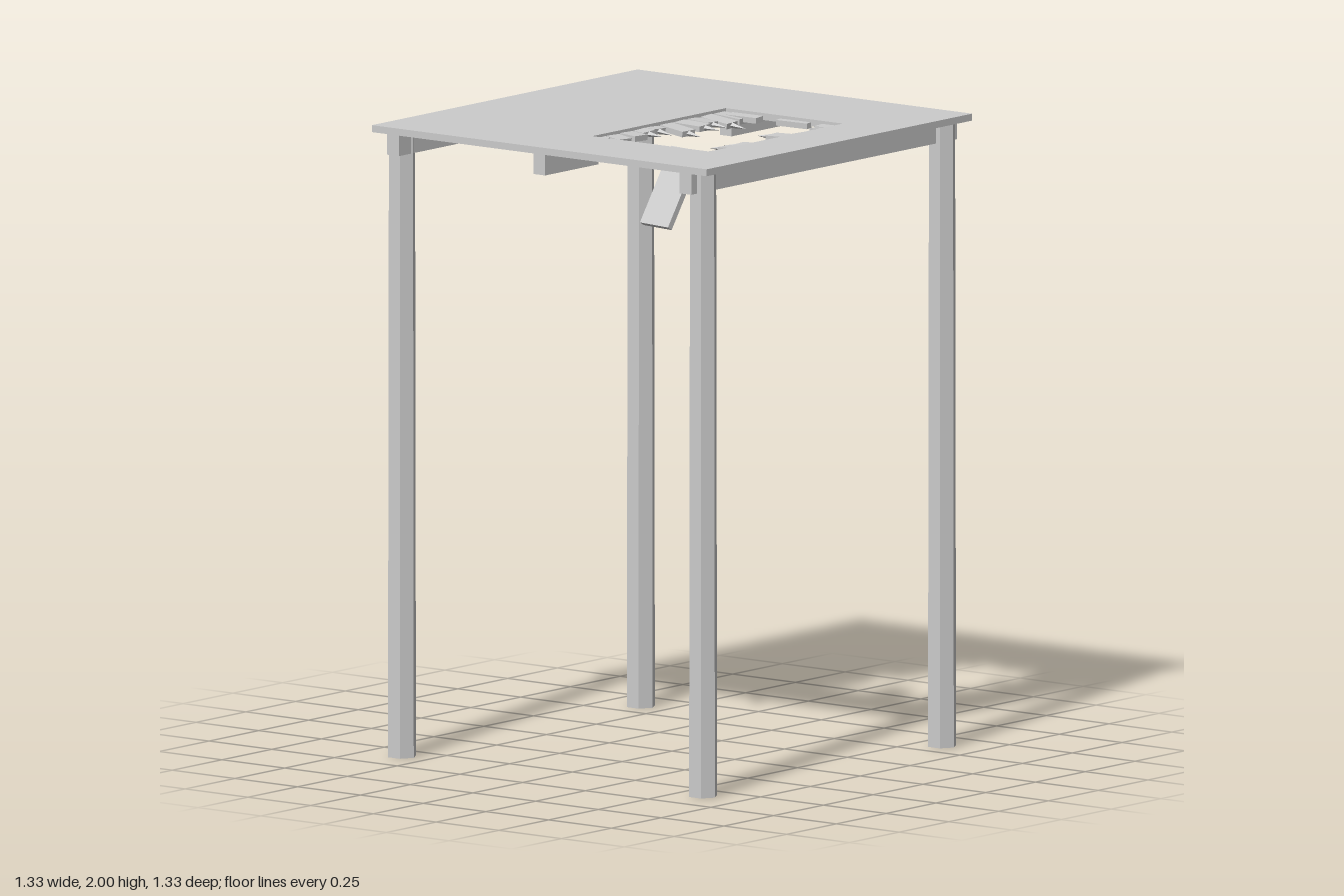
import * as THREE from 'three';

export function createModel() {
  const model = new THREE.Group();
  model.name = 'brokenPlatform';
  const grey = new THREE.MeshStandardMaterial({ color: 0xcccccc, flatShading: true });
  grey.name = 'plain grey';

  function add(name, geometry, x, y, z, rx = 0, ry = 0, rz = 0, parent = model) {
    const mesh = new THREE.Mesh(geometry, grey);
    mesh.name = name;
    mesh.position.set(x, y, z);
    mesh.rotation.set(rx, ry, rz);
    parent.add(mesh);
    return mesh;
  }
  const box = (w, h, d) => new THREE.BoxGeometry(w, h, d);

  // Square deck with a rectangular hole
  const HALF = 0.667, X0 = 0, X1 = 0.467, Z0 = -0.27, Z1 = 0.4;
  const deck = new THREE.Shape();
  deck.moveTo(-HALF, -HALF).lineTo(HALF, -HALF).lineTo(HALF, HALF).lineTo(-HALF, HALF).closePath();
  const hole = new THREE.Path();
  hole.moveTo(X0, -Z0).lineTo(X1, -Z0).lineTo(X1, -Z1).lineTo(X0, -Z1).closePath();
  deck.holes.push(hole);
  const deckGeo = new THREE.ExtrudeGeometry(deck, { depth: 0.022, bevelEnabled: false });
  add('deck', deckGeo, 0, 1.978, 0, -Math.PI / 2);

  // Side beams, and a middle beam snapped off at the hole
  const beam = (name, x, za, zb) =>
    add(name, box(0.047, 0.066, zb - za), x, 1.946, (za + zb) / 2);
  beam('leftBeam', 0.583, -HALF, HALF);
  beam('rightBeam', -0.583, -HALF, HALF);
  beam('middleBeamBack', 0, -HALF, Z0);
  beam('middleBeamFront', 0, Z1, HALF);

  // Hexagonal posts
  for (const sx of [-1, 1]) for (const sz of [-1, 1]) {
    const post = new THREE.CylinderGeometry(0.044, 0.047, 1.978, 6);
    add('post', post, sx * 0.6, 0.989, sz * 0.6, 0, Math.PI / 2, 0);
  }

  // Snapped plank ends along both sides: [length, has splinter, yaw]
  const rightEnds = [
    [0.1, 0, 0.05], [0.102, 1, 0.05], [0.077, 1, 0.09], [0.102, 1, 0.03], [0.1, 1, -0.09],
    [0.03, 1, -0.08], [0.043, 1, -0.06], [0.066, 0, -0.07], [0.056, 0, -0.1], [0.02, 0, -0.08],
  ];
  const leftEnds = [
    [0.085, 0, -0.06], [0.062, 1, -0.05], [0.048, 0, 0.09], [0.1, 1, 0], [0.022, 0, -0.06],
    [0.027, 1, 0.04], [0.07, 1, 0.06], [0.077, 1, 0], [0.065, 0, -0.04], [0.065, 0, 0.05],
  ];
  function brokenEdge(ends, edge, side) {
    ends.forEach(([length, splinter, yaw], i) => {
      const end = new THREE.Group();
      end.name = 'brokenPlank';
      end.position.set(edge, 1.982, -0.236 + i * 0.067);
      end.rotation.set(0.05 * Math.sin(i * 2.3), yaw, -side * (0.08 + 0.05 * Math.sin(i * 1.7)));
      add('plankEnd', box(length, 0.018, 0.058), side * length / 2, 0, 0, 0, 0, 0, end);
      if (splinter) {
        const spike = new THREE.ConeGeometry(0.01, 0.06, 4);
        add('splinter', spike, side * (length + 0.025), 0, 0, 0, 0, -side * Math.PI / 2, end);
      }
      model.add(end);
    });
  }
  brokenEdge(rightEnds, X0, 1);
  brokenEdge(leftEnds, X1, -1);

  // Short stubs on the back and front edges: [x centre, width, depth]
  for (const [x, w, d] of [[0.09, 0.12, 0.04], [0.28, 0.12, 0.024], [0.425, 0.08, 0.04]])
    add('backStub', box(w, 0.018, d), x, 1.981, Z0 + d / 2, 0.05, 0.04, 0);
  for (const [x, w, d] of [[0.077, 0.105, 0.016], [0.262, 0.077, 0.016], [0.42, 0.06, 0.018]])
    add('frontStub', box(w, 0.018, d), x, 1.981, Z1 - d / 2, -0.05, -0.02, 0);

  // Loose plank hanging under the hole
  add('hangingPlank', box(0.12, 0.265, 0.02), 0.237, 1.848, 0.302, -0.545, -0.06, -0.06);

  return model;
}
